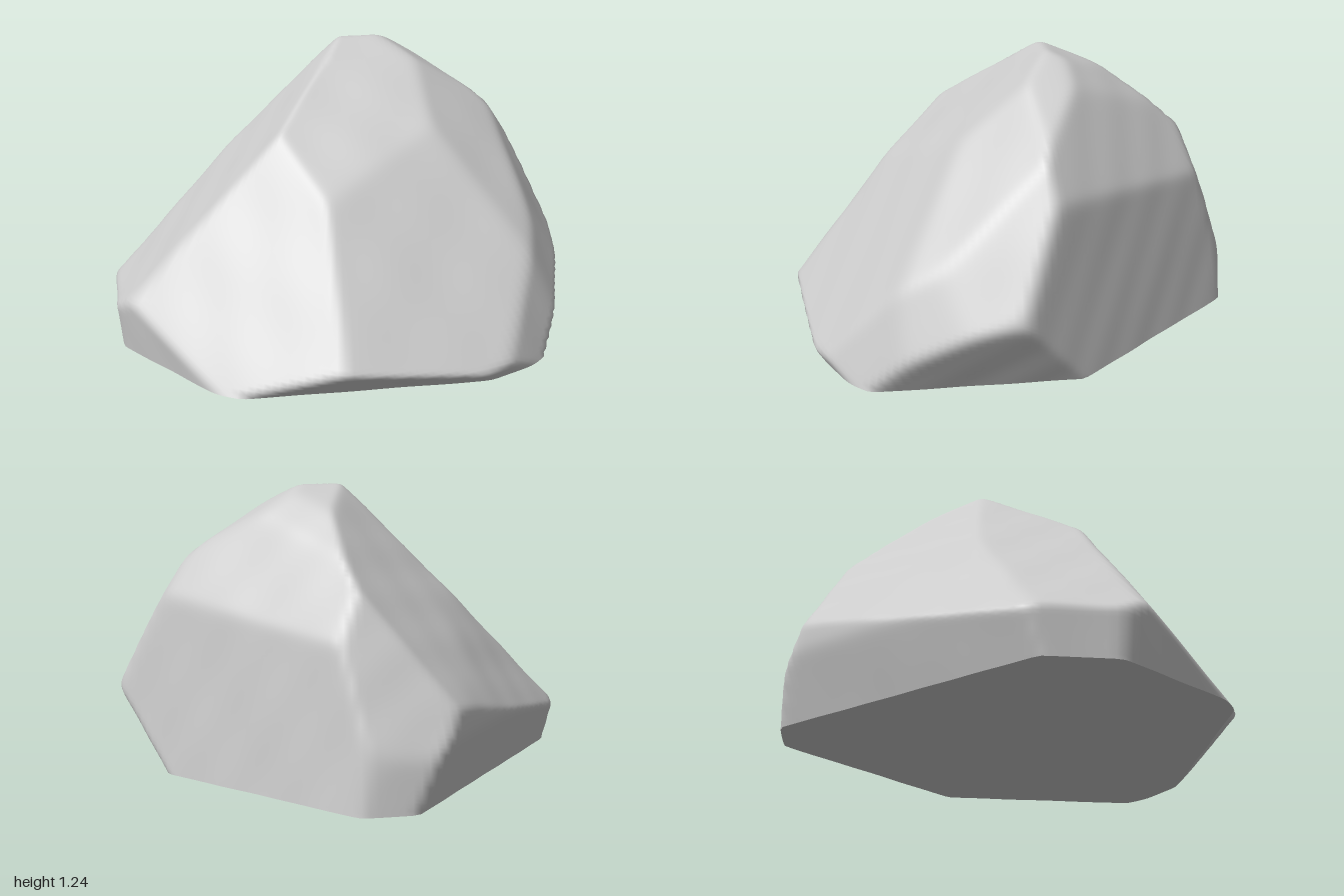
import * as THREE from 'three';
import { mergeVertices } from 'three/addons/utils/BufferGeometryUtils.js';

// Facets that cut the boulder out of space: nx*x + ny*y + nz*z <= d
const FACETS = [
  [0, 1, 0, 1.255],            // crown
  [0, 1, -0.38, 1.3],          // crown, sloping back
  [0.6, 1, 0, 1.375],          // crown, sloping right
  [-1, 1, 0, 1.21],            // left slope
  [-0.74, 1, 1.31, 1.5],       // front left slope
  [0.32, 1, 1.3, 1.375],       // front slope
  [0.04, 1, 0.82, 1.145],      // upper front slope
  [0.73, 1, 0.77, 1.4],        // front right shoulder
  [1.75, 1, 0.55, 2.15],       // right shoulder
  [0.54, 1, -0.75, 1.52],      // upper back right slope
  [1.27, 1, -1.25, 1.93],      // lower back right slope
  [-0.92, 1, -0.73, 1.32],     // back left slope
  [-1.22, 1, -0.77, 1.46],     // lower back left slope
  [0.75, 0.1, -0.66, 0.755],   // back right wall
  [-0.74, 0, -0.67, 0.82],     // back left wall
  [-0.74, -0.32, -0.67, 0.73], // back left undercut
  [0, 1, -2.73, 2.91],         // back tip slope
  [0, 0, -1, 0.985],           // back tip
  [0.2, 0.12, -1, 1.02],       // back tip bevel
  [0.88, 0.4, 0.48, 1.105],    // right front wall
  [0.71, 0.3, 0.71, 1.06],     // front right wall
  [1, -0.55, 0, 0.82],         // right undercut
  [1, 0, 0, 1.0],              // right tip
  [0, -1, 1, 0.855],           // front undercut
  [0.45, -0.5, 0.9, 1.01],     // front right undercut
  [-0.4, -0.5, 0.9, 1.0],      // front left undercut
  [-0.8, -0.15, 0.6, 0.97],    // left front wall
  [-1, -0.12, 0, 0.98],        // left tip
];
const SHARPNESS = 150;

// Distance from the base centre to the softly rounded surface
function surfaceRadius(dir) {
  let sum = 0;
  for (const [x, y, z, d] of FACETS) {
    const k = (x * dir.x + y * dir.y + z * dir.z) / d;
    if (k > 0) sum += Math.pow(k, SHARPNESS);
  }
  const r = Math.pow(sum, -1 / SHARPNESS);
  const x = dir.x * r, y = dir.y * r, z = dir.z * r;
  // slight weathering
  const bumps = Math.sin(9 * x + 4 * z) * Math.sin(8 * y - 5 * x + 1) + Math.sin(17 * z + 6 * y) * Math.sin(15 * x + 9 * y + 2);
  return r + 0.002 * bumps;
}

export function createModel() {
  const group = new THREE.Group();
  group.name = 'boulder';
  const stone = new THREE.MeshStandardMaterial({ color: 0xcccccc });
  stone.name = 'stone grey';

  // Weathered body: a dome pushed out to the facets
  const SEGMENTS = 180;
  let dome = new THREE.SphereGeometry(1, SEGMENTS, 90, 0, Math.PI * 2, 0, Math.PI / 2);
  dome.deleteAttribute('uv');
  dome.deleteAttribute('normal');
  dome = mergeVertices(dome, 1e-5);
  const pos = dome.attributes.position;
  const v = new THREE.Vector3();
  for (let i = 0; i < pos.count; i++) {
    v.fromBufferAttribute(pos, i).normalize();
    if (v.y < 1e-6) v.y = 0;
    v.multiplyScalar(surfaceRadius(v));
    pos.setXYZ(i, v.x, v.y, v.z);
  }
  dome.computeVertexNormals();
  const body = new THREE.Mesh(dome, stone);
  body.name = 'rockBody';
  group.add(body);

  // Flat underside following the rim
  const outline = [];
  for (let i = 0; i < SEGMENTS; i++) {
    const a = (i / SEGMENTS) * Math.PI * 2;
    v.set(Math.cos(a), 0, Math.sin(a));
    const r = surfaceRadius(v);
    outline.push(new THREE.Vector2(v.x * r, v.z * r));
  }
  const base = new THREE.ShapeGeometry(new THREE.Shape(outline));
  base.rotateX(Math.PI / 2);
  const underside = new THREE.Mesh(base, stone);
  underside.name = 'underside';
  group.add(underside);

  return group;
}
